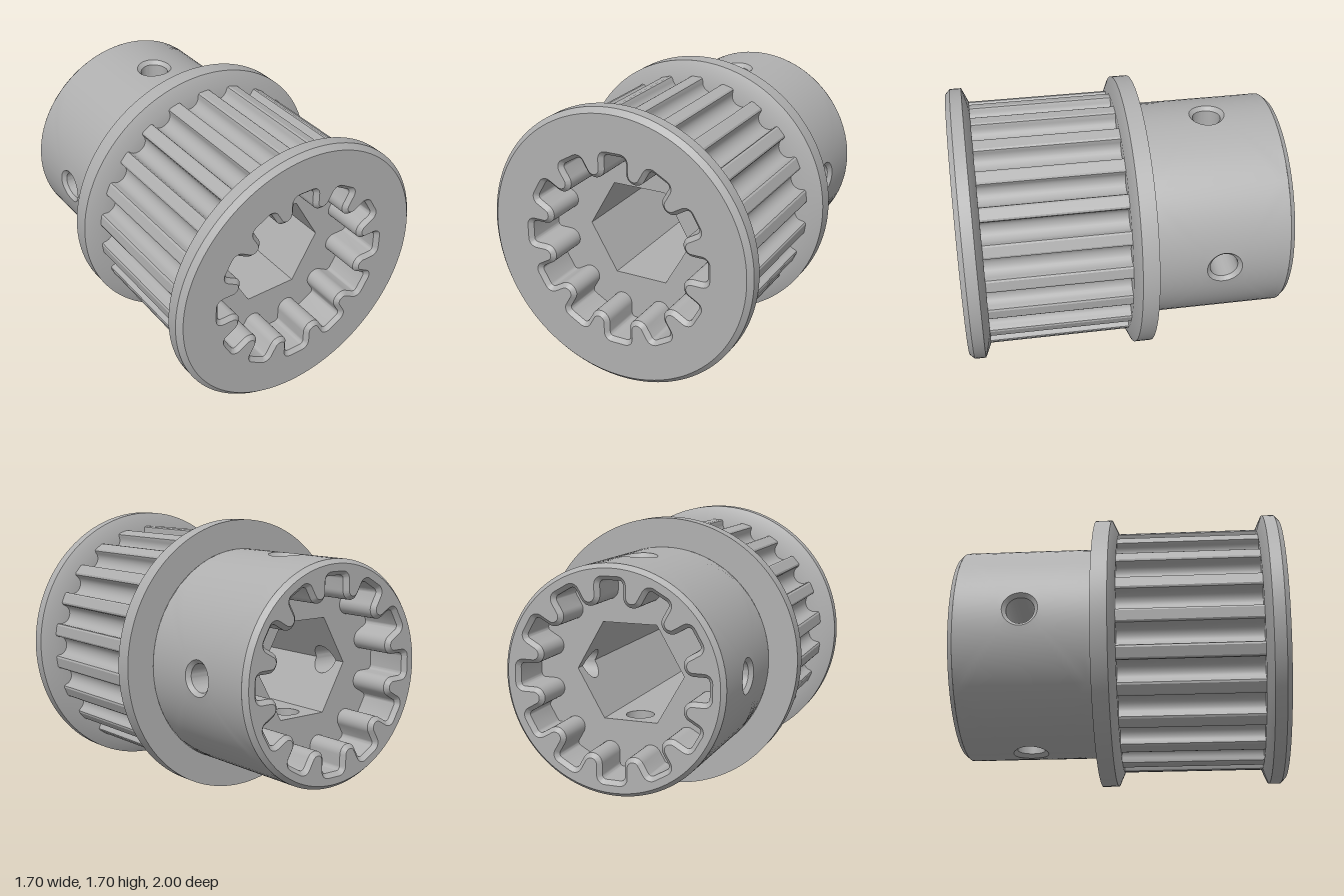
import * as THREE from 'three';
import { mergeGeometries, toCreasedNormals } from 'three/addons/utils/BufferGeometryUtils.js';

const AXIS_Y = 0.853;
const TEETH = 22, TOOTH_R = 0.762;
const HUB_R = 0.67, FLOOR_Z = 0.72, SCREW_Z = -0.57;
const HEX_FLAT = 0.29, HEX_CORNER = HEX_FLAT * 2 / Math.sqrt(3);
const QUARTERS = [0, 1, 2, 3].map(k => k * Math.PI / 2);

// point at tangential offset u and radial distance r, seen along direction phi
const polar = (phi, u, r, z = 0) => new THREE.Vector3(
  r * Math.cos(phi) - u * Math.sin(phi), r * Math.sin(phi) + u * Math.cos(phi), z);

const atZ = (loop, z) => loop.map(p => new THREE.Vector3(p.x, p.y, z));

// skin joining closed loops that have equal point counts
function skin(loops) {
  const n = loops[0].length, index = [];
  for (let j = 0; j < loops.length - 1; j++) {
    for (let i = 0; i < n; i++) {
      const a = j * n + i, b = j * n + (i + 1) % n;
      index.push(a, b, b + n, a, b + n, a + n);
    }
  }
  const g = new THREE.BufferGeometry().setFromPoints(loops.flat());
  g.setIndex(index);
  return g;
}

// flat face at height z with one hole, facing +z
function face(outer, hole, z) {
  const shape = new THREE.Shape(outer.map(p => new THREE.Vector2(p.x, p.y)));
  shape.holes.push(new THREE.Path(hole.map(p => new THREE.Vector2(p.x, p.y))));
  return new THREE.ShapeGeometry(shape).translate(0, 0, z);
}

// turned surface about z from [radius, z] pairs in rising z
function turned(profile) {
  const pts = profile.map(([r, z]) => new THREE.Vector2(r, z));
  return new THREE.LatheGeometry(pts, 128).rotateX(Math.PI / 2);
}

const circle = r => Array.from({ length: 128 }, (_, i) => polar(i * Math.PI / 64, 0, r));
const hexagon = Array.from({ length: 6 }, (_, i) => polar(i * Math.PI / 3, 0, HEX_CORNER));

// twelve-lobed pocket outline, grown outward by e
function pocketOutline(e) {
  const w = 0.07, R = 0.575, c = 0.025, tip = 0.06, step = Math.PI / 12;
  const q = (w + tip) / Math.sin(step), half = [], loop = [];
  const arc = (cx, cy, r, a0, a1, n) => {
    for (let i = 0; i <= n; i++) {
      const a = a0 + (a1 - a0) * i / n;
      half.push([cx + r * Math.cos(a), cy + r * Math.sin(a)]);
    }
  };
  arc(w - c, R - c, c + e, Math.PI / 2, 0, 6);
  arc(q * Math.sin(step), q * Math.cos(step), tip - e, Math.PI, Math.PI + 5 * step, 7);
  // counter-clockwise: right half from tooth tip to lobe, then mirrored
  const right = [...half].reverse();
  const left = half.slice(0, -1).map(([x, y]) => [-x, y]);
  for (let k = 0; k < 12; k++) {
    for (const [x, y] of [...right, ...left]) loop.push(polar(Math.PI / 2 + k * 2 * step, -x, y));
  }
  return loop;
}

// belt grooves around the barrel, with a land at the top
function beltOutline() {
  const groove = [[-0.079, 0], [-0.067, 0.006]];
  for (let i = 0; i <= 12; i++) {
    const a = Math.PI * i / 12;
    groove.push([-0.062 * Math.cos(a), 0.02 + 0.062 * Math.sin(a)]);
  }
  groove.push([0.067, 0.006], [0.079, 0]);
  const loop = [];
  for (let k = 0; k < TEETH; k++) {
    const phi = Math.PI / 2 + (k + 0.5) * 2 * Math.PI / TEETH;
    for (const [u, d] of groove) loop.push(polar(phi, u, Math.sqrt(TOOTH_R ** 2 - u * u) - d));
  }
  return loop;
}

// loops on a wall running from a round hole (t = 0) to a rectangle (t = 1)
const SEG = 64;
function holeLoop(phi, radius, radial, t = 0, halfU = 0, z0 = 0, z1 = 0) {
  return Array.from({ length: SEG }, (_, i) => {
    const a = i * 2 * Math.PI / SEG, c = Math.cos(a), s = Math.sin(a);
    const m = Math.max(Math.abs(c), Math.abs(s));
    const edgeZ = SCREW_Z + (s > 0 ? z1 - SCREW_Z : SCREW_Z - z0) * s / m;
    const u = THREE.MathUtils.lerp(radius * c, halfU * c / m, t);
    return polar(phi, u, radial(u), THREE.MathUtils.lerp(SCREW_Z + radius * s, edgeZ, t));
  });
}

const hubRadial = u => Math.sqrt(HUB_R ** 2 - u * u);
const hexRadial = phi => Math.abs(Math.sin(phi)) > 0.5
  ? () => HEX_FLAT
  : u => HEX_CORNER - Math.abs(u) / Math.sqrt(3);

export function createModel() {
  const steel = new THREE.MeshStandardMaterial({ color: 0xb0b0b0, side: THREE.DoubleSide });
  steel.name = 'greyMetal';
  const model = new THREE.Group();
  model.name = 'timingPulley';

  const add = (name, geometry) => {
    const mesh = new THREE.Mesh(toCreasedNormals(geometry, 0.5), steel);
    mesh.name = name;
    mesh.position.y = AXIS_Y;
    model.add(mesh);
    return mesh;
  };

  // flanges
  add('frontFlange', turned([[0.66, 0.86], [TOOTH_R, 0.86], [0.85, 0.9], [0.85, 0.97], [0.82, 1]]));
  add('rearFlange', turned([[HUB_R, -0.14], [0.85, -0.14], [0.85, -0.04], [TOOTH_R, 0], [0.66, 0]]));

  // toothed barrel
  const belt = beltOutline();
  add('toothedBarrel', skin([atZ(belt, 0), atZ(belt, 0.86)]));

  // end faces and splined pockets, front and back
  const rim = pocketOutline(0.025), bore = pocketOutline(0);
  const ends = [['front', 0.82, 0], ['rear', 0.645, Math.PI]];
  for (const [side, radius, turn] of ends) {
    add(side + 'Face', face(circle(radius), rim, 1)).rotation.y = turn;
    add(side + 'SplinePocket', skin([atZ(rim, 1), atZ(bore, 0.975), atZ(bore, FLOOR_Z)])).rotation.y = turn;
    add(side + 'PocketFloor', face(bore, hexagon, FLOOR_Z)).rotation.y = turn;
  }

  // hub wall, hexagonal bore and the four screw holes through them
  const hub = [], hex = [], screws = [];
  for (const phi of QUARTERS) {
    const inner = hexRadial(phi);
    const rings = [];
    for (let j = 8; j >= 0; j--) {
      rings.push(holeLoop(phi, 0.108, hubRadial, j / 8, HUB_R * Math.SQRT1_2, -0.97, -0.14));
    }
    hub.push(skin(rings));
    const halfU = Math.abs(Math.sin(phi)) > 0.5 ? HEX_CORNER / 2 : HEX_FLAT;
    hex.push(skin([0, 1].map(t => holeLoop(phi, 0.085, inner, t, halfU, -FLOOR_Z, FLOOR_Z))));
    screws.push(skin([
      holeLoop(phi, 0.108, hubRadial),
      holeLoop(phi, 0.085, u => hubRadial(u) - 0.025),
      holeLoop(phi, 0.085, inner),
    ]));
  }
  add('hubWall', mergeGeometries(hub));
  add('hubChamfer', turned([[0.645, -1], [HUB_R, -0.97]]));
  add('hexBore', mergeGeometries(hex));
  add('screwHoles', mergeGeometries(screws));

  return model;
}
